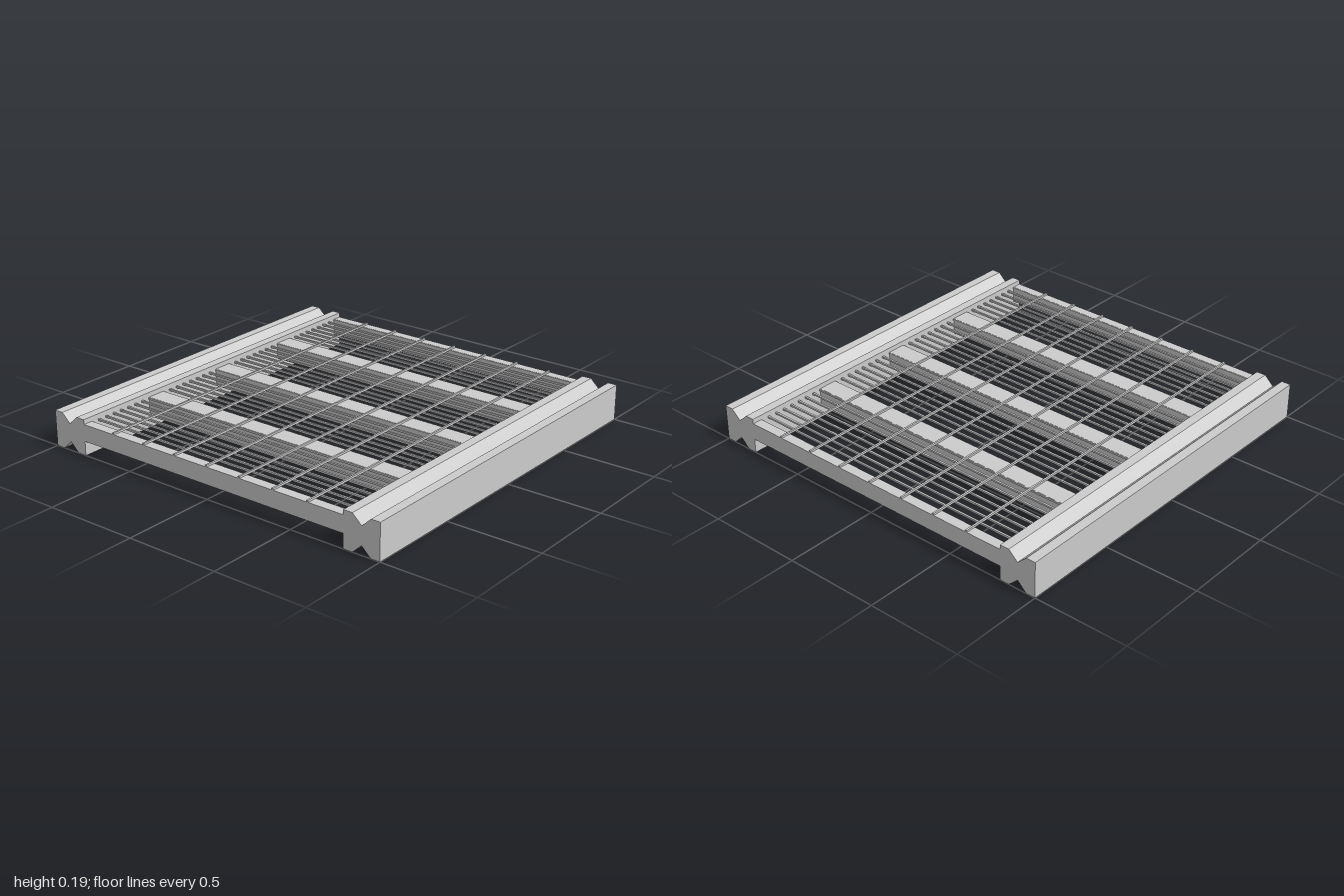
import * as THREE from 'three';

export function createModel() {
  const model = new THREE.Group();
  const material = new THREE.MeshStandardMaterial({ color: 0xcccccc, flatShading: true });

  function add(name, geometry, x, y, z) {
    const mesh = new THREE.Mesh(geometry, material);
    mesh.name = name;
    mesh.position.set(x, y, z);
    model.add(mesh);
  }

  // End rails: rectangular section with a V groove above and below
  const section = new THREE.Shape([
    [-0.1, 0], [-0.05, 0], [0, 0.047], [0.05, 0], [0.1, 0],
    [0.1, 0.19], [0.05, 0.19], [0, 0.143], [-0.05, 0.19], [-0.1, 0.19],
  ].map(([u, v]) => new THREE.Vector2(u, v)));
  const rail = new THREE.ExtrudeGeometry(section, { depth: 2, bevelEnabled: false });
  rail.translate(0, 0, -1).rotateY(Math.PI / 2);
  add('frontRail', rail, 0, 0, 0.9);
  add('backRail', rail, 0, 0, -0.9);

  // Support beams between the rails, half as wide at the sides
  const beam = new THREE.BoxGeometry(0.1, 0.09, 1.6);
  for (const x of [-0.5, 0, 0.5]) add('supportBeam', beam, x, 0.12, 0);
  const sideBeam = new THREE.BoxGeometry(0.05, 0.09, 1.6);
  for (const x of [-0.975, 0.975]) add('sideBeam', sideBeam, x, 0.12, 0);

  // Lengthwise grating bars, just below the beam tops
  const bar = new THREE.BoxGeometry(0.01, 0.01, 1.6);
  for (let i = -19; i <= 19; i++) {
    if (i % 10 !== 0) add('gratingBar', bar, i * 0.05, 0.159, 0);
  }

  // Cross wires lying over the bars
  const wire = new THREE.BoxGeometry(2, 0.011, 0.01);
  for (let i = -3; i <= 3; i++) add('crossWire', wire, 0, 0.1695, i * 0.2);

  return model;
}
